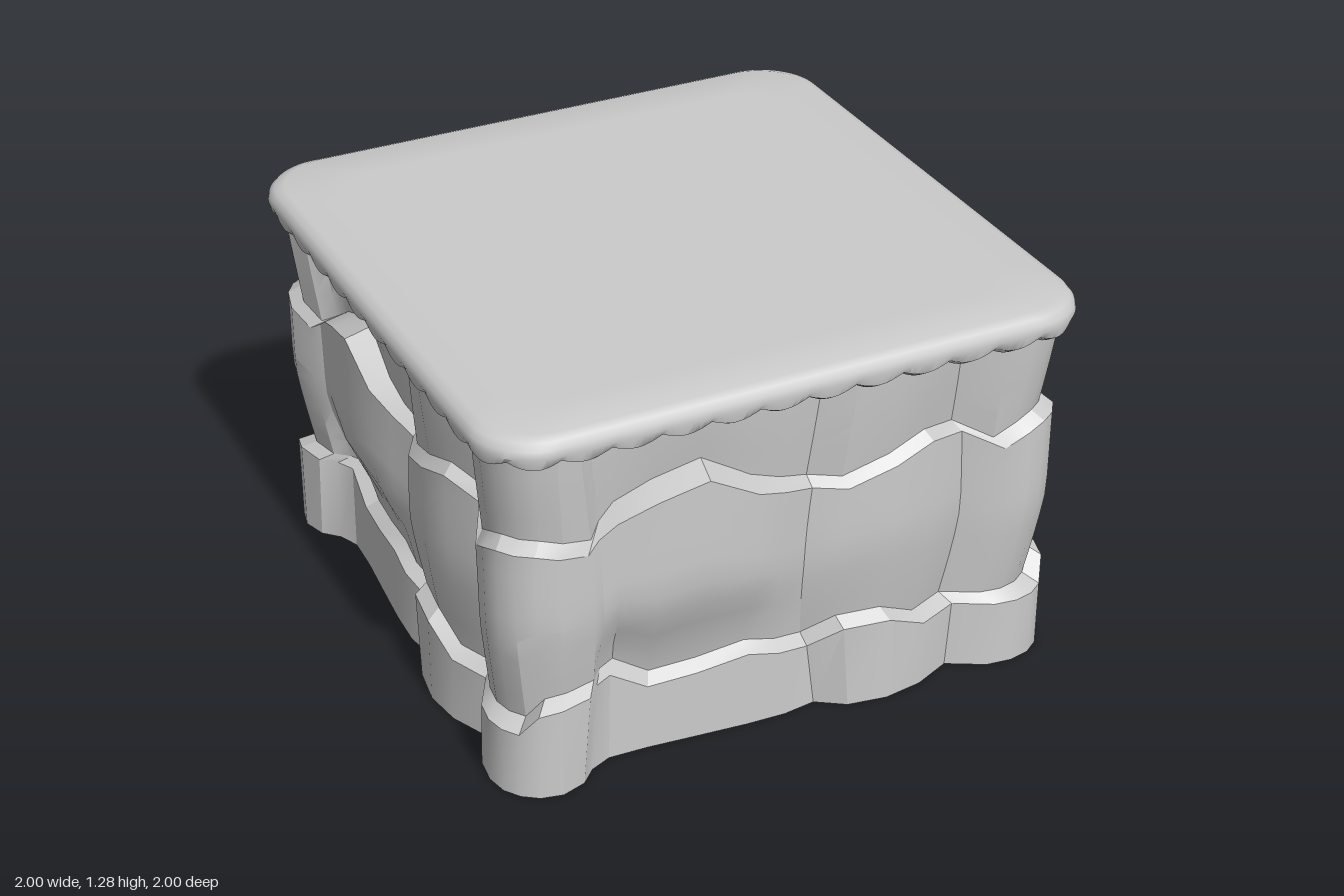
import * as THREE from 'three';
import { toCreasedNormals } from 'three/addons/utils/BufferGeometryUtils.js';

const material = new THREE.MeshStandardMaterial({ color: 0xcccccc, side: THREE.DoubleSide });
const { lerp, smoothstep } = THREE.MathUtils;

// Skin a stack of closed loops, listed from bottom to top; a loop may shrink to a point
function loft(name, loops, crease) {
  const n = loops[0].length;
  const isPoint = (loop) => loop[0].distanceTo(loop[1]) < 1e-6;
  const index = [];
  for (let r = 0; r < loops.length - 1; r++) {
    for (let i = 0; i < n; i++) {
      const a = r * n + i, b = r * n + (i + 1) % n;
      if (!isPoint(loops[r])) index.push(a, b, b + n);
      if (!isPoint(loops[r + 1])) index.push(a, b + n, a + n);
    }
  }
  const geometry = new THREE.BufferGeometry().setFromPoints(loops.flat());
  geometry.setIndex(index);
  const mesh = new THREE.Mesh(toCreasedNormals(geometry, crease), material);
  mesh.name = name;
  return mesh;
}

// One side of the wall: x, z, z at full bulge, lower ledge height, upper ledge height, sideways drift
const SIDE = [
  [-0.71, 0.935, 0.935, 0.31, 0.82, 0.04],
  [-0.66, 0.885, 0.915, 0.31, 0.85, 0.03],
  [-0.59, 0.855, 0.92, 0.31, 0.89, 0.01],
  [-0.46, 0.86, 0.94, 0.23, 0.94, 0],
  [-0.30, 0.875, 0.955, 0.24, 0.98, 0],
  [-0.13, 0.89, 0.945, 0.265, 0.88, 0],
  [0.00, 0.895, 0.915, 0.24, 0.84, -0.04],
  [0.11, 0.88, 0.885, 0.225, 0.81, -0.05],
  [0.20, 0.94, 0.94, 0.295, 0.81, -0.04],
  [0.33, 0.96, 0.96, 0.295, 0.86, 0],
  [0.46, 0.94, 0.94, 0.23, 0.90, 0.01],
  [0.585, 0.885, 0.885, 0.23, 0.87, 0.025],
  [0.705, 0.95, 0.95, 0.23, 0.81, 0.025],
  [0.79, 0.96, 0.96, 0.23, 0.85, 0.01],
  [0.86, 0.945, 0.945, 0.23, 0.87, 0],
  [0.91, 0.91, 0.91, 0.23, 0.87, 0],
  [0.945, 0.86, 0.86, 0.30, 0.87, 0],
  [0.96, 0.79, 0.79, 0.31, 0.85, 0],
];

// Repeat the side four times round; each row gives a height, an inset, a drift and a bulge
function wallLoop(height, inset, drift, bulge) {
  const loop = [];
  for (let k = 0; k < 4; k++) {
    const turn = k * Math.PI / 2;
    for (const [x, z, fullZ, low, high, shift] of SIDE) {
      const point = new THREE.Vector3(x + shift * drift, 0, lerp(z, fullZ, bulge)).multiplyScalar(1 - inset);
      loop.push(point.setY(height(low, high)).applyAxisAngle(new THREE.Vector3(0, 1, 0), turn));
    }
  }
  return loop;
}

// Rounded square outline of the lid, starting at the middle of the front
function lidOutline(count) {
  const r = 0.2, s = 1 - r, shape = new THREE.Shape();
  shape.moveTo(0, -1);
  shape.lineTo(s, -1);
  shape.absarc(s, -s, r, -Math.PI / 2, 0);
  shape.absarc(s, s, r, 0, Math.PI / 2);
  shape.absarc(-s, s, r, Math.PI / 2, Math.PI);
  shape.absarc(-s, -s, r, Math.PI, Math.PI * 1.5);
  shape.lineTo(0, -1);
  return shape.getSpacedPoints(count).slice(0, count);
}

export function createModel() {
  const group = new THREE.Group();
  group.name = 'rockBlock';
  const bevel = 0.03, top = 1.205, crease = 0.42, ledgeDrift = 0.6;

  // Lower tier with its sloping ledge
  group.add(loft('lowerTier', [
    wallLoop(() => 0, 0, 0, 0),
    wallLoop((low) => low, 0, ledgeDrift, 0),
    wallLoop((low) => low + bevel, 0.045, ledgeDrift, 0),
  ], crease));

  // Middle tier bulges out from the lower ledge
  const middle = [];
  for (let i = 0; i <= 8; i++) {
    const t = i / 8;
    const inset = 0.045 * Math.max(0, 1 - t / 0.55) ** 1.2;
    const drift = ledgeDrift + (1 - ledgeDrift) * Math.sin(Math.PI * t);
    middle.push(wallLoop((low, high) => lerp(low + bevel, high, t), inset, drift, smoothstep(t, 0, 0.5)));
  }
  middle.push(wallLoop((low, high) => high + bevel, 0.035, ledgeDrift, 0.3));
  group.add(loft('middleTier', middle, crease));

  // Upper tier flares out towards the lid
  const upper = [];
  for (let i = 0; i <= 4; i++) {
    const t = i / 4;
    upper.push(wallLoop((low, high) => lerp(high + bevel, top, t),
      0.035 * (1 - t) ** 1.2, ledgeDrift * (1 - t), 0.3));
  }
  group.add(loft('upperTier', upper, crease));

  // Lid with a scalloped lower rim: inset, height, scallop depth
  const perLobe = 8, outline = lidOutline(48 * perLobe);
  const profile = [
    [1, 1.21, 0], [0.3, 1.21, 0], [0.1, 1.203, 0.02], [0.03, 1.199, 0.029], [0.008, 1.207, 0.022],
    [0, 1.225, 0], [0.004, 1.248, 0], [0.018, 1.268, 0], [0.045, 1.279, 0], [0.2, 1.28, 0], [1, 1.28, 0],
  ];
  const lid = profile.map(([inset, y, depth]) => outline.map((p, i) => new THREE.Vector3(
    p.x * (1 - inset),
    y - depth * Math.abs(Math.sin(Math.PI * i / perLobe)),
    -p.y * (1 - inset),
  )));
  group.add(loft('scallopedLid', lid, 0.75));
  return group;
}
